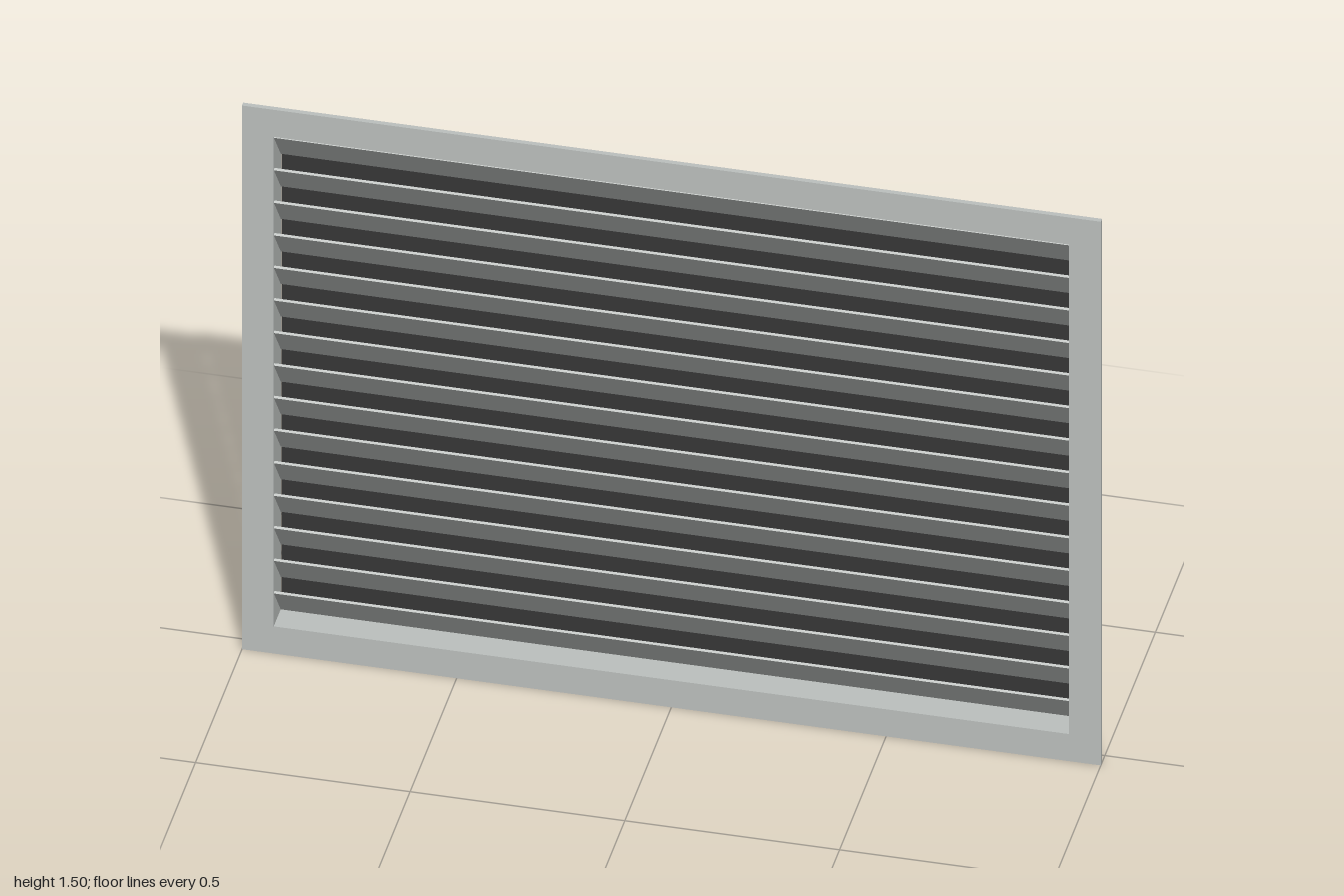
import * as THREE from 'three';

const metal = new THREE.MeshStandardMaterial({ color: 0xbcc0be });
metal.name = 'pale grey metal';
const mesh = new THREE.MeshStandardMaterial({ color: 0x363636 });
mesh.name = 'dark screen';

const BOTTOM = 0.075, TOP = 1.43, HALF = 0.926; // clear opening
const MID = (BOTTOM + TOP) / 2;

// Rectangular ring around the opening, extruded from z0 to z1
function ring(name, halfW, y0, y1, z0, z1) {
  const shape = new THREE.Shape([
    new THREE.Vector2(-halfW, y0), new THREE.Vector2(halfW, y0),
    new THREE.Vector2(halfW, y1), new THREE.Vector2(-halfW, y1),
  ]);
  shape.holes.push(new THREE.Path([
    new THREE.Vector2(-HALF, BOTTOM), new THREE.Vector2(-HALF, TOP),
    new THREE.Vector2(HALF, TOP), new THREE.Vector2(HALF, BOTTOM),
  ]));
  const geometry = new THREE.ExtrudeGeometry(shape, { depth: z1 - z0, bevelEnabled: false });
  const part = new THREE.Mesh(geometry, metal);
  part.position.z = z0;
  part.name = name;
  return part;
}

export function createModel() {
  const group = new THREE.Group();
  group.name = 'louvreVent';

  // Flat flange in front, shallow duct sleeve behind it
  group.add(ring('frontFlange', 1, 0, 1.505, 0.028, 0.04));
  group.add(ring('ductSleeve', 0.934, 0.068, 1.437, -0.03, 0.028));

  // Slats lean forward at the top and run down towards the back
  const slats = new THREE.Group();
  slats.name = 'slats';
  const slatGeometry = new THREE.BoxGeometry(HALF * 2, 0.113, 0.006);
  for (let i = 0; i < 15; i++) {
    const slat = new THREE.Mesh(slatGeometry, metal);
    slat.name = 'slat' + (i + 1);
    slat.position.set(0, TOP - 0.047 - i * 0.0901, 0.002);
    slat.rotation.x = Math.atan2(0.6, 0.8);
    slats.add(slat);
  }
  group.add(slats);

  // Thin dark screen closing the back
  const screen = new THREE.Mesh(new THREE.BoxGeometry(HALF * 2, TOP - BOTTOM, 0.005), mesh);
  screen.name = 'backScreen';
  screen.position.set(0, MID, -0.0375);
  group.add(screen);

  return group;
}
